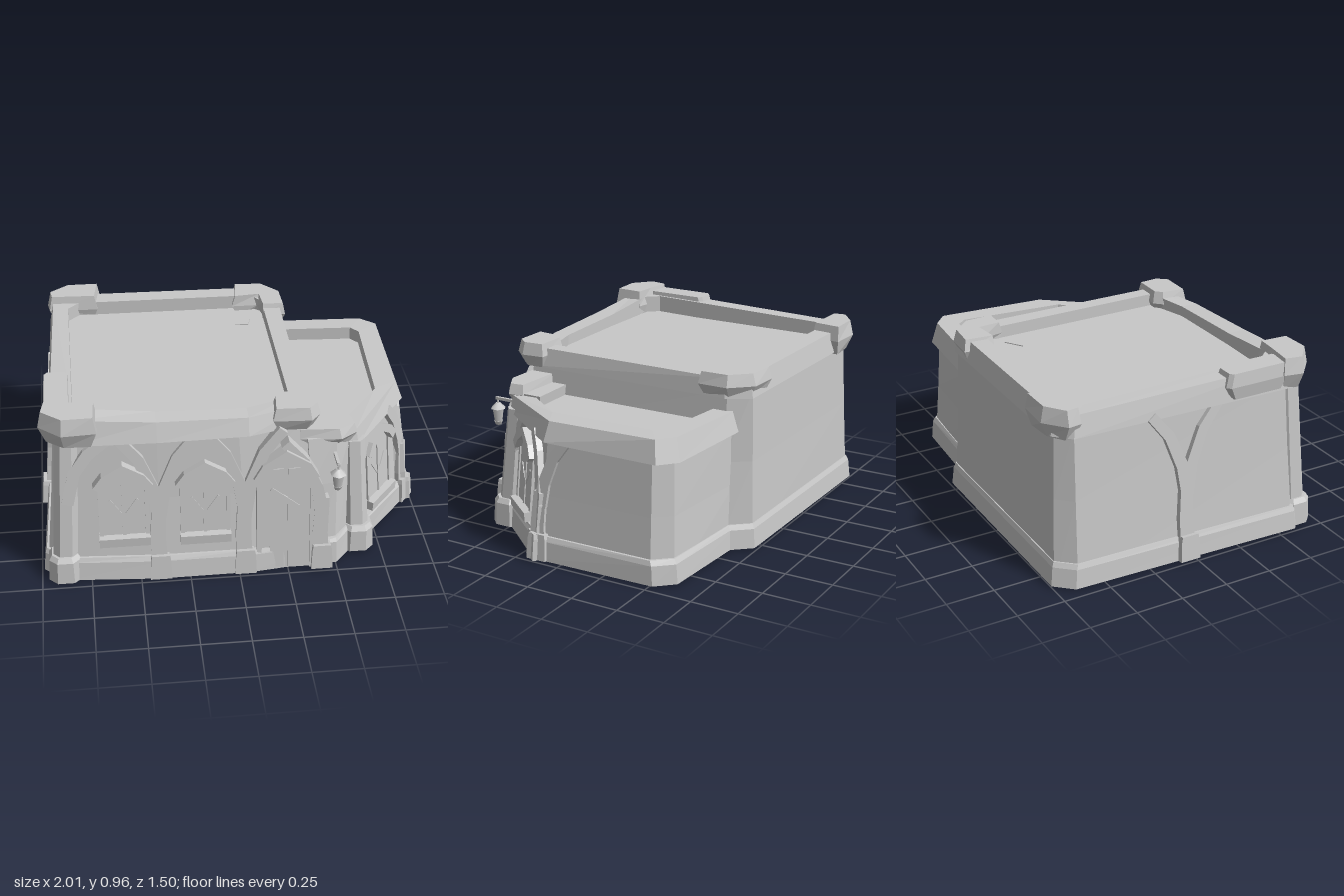
import * as THREE from 'three';

const stone = new THREE.MeshStandardMaterial({ color: 0xc8c8c8 });
stone.name = 'stone grey';

function add(parent, name, geo) {
  const mesh = new THREE.Mesh(geo, stone);
  mesh.name = name;
  parent.add(mesh);
  return mesh;
}

// Faceted skin over rings of [x, y, z] points
function loft(rings, caps = true) {
  const pos = [];
  const tri = (a, b, c) => pos.push(...a, ...b, ...c);
  const n = rings[0].length;
  for (let r = 0; r < rings.length - 1; r++) {
    for (let i = 0; i < n; i++) {
      const j = (i + 1) % n;
      tri(rings[r][i], rings[r][j], rings[r + 1][j]);
      tri(rings[r][i], rings[r + 1][j], rings[r + 1][i]);
    }
  }
  const cap = (ring, up) => {
    const c = [0, 1, 2].map(k => ring.reduce((s, p) => s + p[k], 0) / n);
    ring.forEach((p, i) => {
      const q = ring[(i + 1) % n];
      up ? tri(c, p, q) : tri(c, q, p);
    });
  };
  if (caps) { cap(rings[0], false); cap(rings[rings.length - 1], true); }
  const geo = new THREE.BufferGeometry();
  geo.setAttribute('position', new THREE.Float32BufferAttribute(pos, 3));
  geo.computeVertexNormals();
  return geo;
}

const at = (pts, y) => pts.map(([x, z, dy = 0]) => [x, y + dy, z]);
const mix = (a, b, t) => a.map((p, i) => [p[0] + (b[i][0] - p[0]) * t, p[1] + (b[i][1] - p[1]) * t]);
// Pushes an outline away from its middle by a fixed distance
const grow = (pts, d) => {
  const cx = pts.reduce((s, p) => s + p[0], 0) / pts.length;
  const cz = pts.reduce((s, p) => s + p[1], 0) / pts.length;
  return pts.map(([x, z, dy = 0]) => {
    const l = Math.hypot(x - cx, z - cz);
    return [x + (x - cx) / l * d * 1.2, z + (z - cz) / l * d * 1.2, dy];
  });
};
const rect = (x0, x1, z0, z1, c) => [[x0, z1 - c], [x0 + c, z1], [x1 - c, z1], [x1, z1 - c],
  [x1, z0 + c], [x1 - c, z0], [x0 + c, z0], [x0, z0 + c]];

// Hollow rim around a roof
const rim = (low, top, inner, y0, y1, yIn) =>
  loft([at(low, y0), at(top, y1), at(inner, y1), at(inner, yIn), at(low, y0)], false);

// Chunky block, narrower at its foot and top
function block(parent, name, pts, y0, y1) {
  add(parent, name, loft([at(grow(pts, -0.03), y0), at(pts, y0 + (y1 - y0) * 0.5), at(grow(pts, -0.015), y1)]));
}

// Timber or stone strip along a 2D path, standing proud of a wall panel
function strip(parent, name, path, width, depth, endWidth = width) {
  add(parent, name, loft(path.map(([x, y], i) => {
    const a = path[Math.max(i - 1, 0)], b = path[Math.min(i + 1, path.length - 1)];
    const l = Math.hypot(b[0] - a[0], b[1] - a[1]);
    const w = (width + (endWidth - width) * i / (path.length - 1)) / 2;
    const nx = (b[1] - a[1]) / l * w, ny = -(b[0] - a[0]) / l * w;
    return [[x - nx, y - ny, depth], [x + nx, y + ny, depth], [x + nx, y + ny, -0.05], [x - nx, y - ny, -0.05]];
  })));
}

// Leaning drawing plane on a wall: x along it, y up, z outwards
function panel(parent, name, x, z, yaw, tilt) {
  const g = new THREE.Group();
  g.name = name;
  g.position.set(x, 0, z);
  g.rotation.set(-tilt, yaw, 0, 'YXZ');
  parent.add(g);
  return g;
}

function brace(parent, x, top, s, reach) {
  strip(parent, 'archBrace', [[x, top * 0.44], [x + s * reach * 0.15, top * 0.64],
    [x + s * reach * 0.5, top * 0.85], [x + s * reach, top]], 0.07, 0.025, 0.05);
}

function post(parent, x, top, sides, reach = 0.19) {
  strip(parent, 'post', [[x, 0], [x - 0.01, top * 0.28], [x, top * 0.56]], 0.085, 0.025, 0.07);
  strip(parent, 'postFoot', [[x, 0], [x, 0.11], [x, 0.135]], 0.11, 0.045, 0.09);
  for (const s of sides) brace(parent, x, top, s, reach);
}

function pointedPanel(parent, name, x, y0, w, spring, peak) {
  const s = new THREE.Shape();
  s.moveTo(x - w / 2, y0);
  s.lineTo(x + w / 2, y0);
  s.lineTo(x + w / 2, spring);
  s.lineTo(x + w * 0.3, spring + (peak - spring) * 0.6);
  s.lineTo(x, peak);
  s.lineTo(x - w * 0.3, spring + (peak - spring) * 0.6);
  s.lineTo(x - w / 2, spring);
  add(parent, name, new THREE.ExtrudeGeometry(s, { depth: 0.04, bevelEnabled: false })).position.z = -0.03;
}

function windowUnit(parent, x, dy) {
  const g = new THREE.Group();
  g.name = 'window';
  g.position.set(x, dy, 0);
  parent.add(g);
  pointedPanel(g, 'windowPane', 0, 0.24, 0.23, 0.53, 0.62);
  strip(g, 'windowHood', [[-0.13, 0.535], [-0.09, 0.59], [0, 0.645], [0.09, 0.59], [0.13, 0.535]], 0.045, 0.045);
  for (const s of [-1, 1]) {
    strip(g, 'windowJamb', [[s * 0.115, 0.25], [s * 0.115, 0.55]], 0.02, 0.018);
    strip(g, 'windowLattice', [[0, 0.36], [s * 0.07, 0.46]], 0.012, 0.014);
  }
  strip(g, 'windowMullion', [[0, 0.25], [0, 0.61]], 0.018, 0.016);
  const sill = add(g, 'windowSill', new THREE.BoxGeometry(0.255, 0.05, 0.08));
  sill.position.set(0, 0.235, 0.005);
  sill.rotation.x = 0.15;
}

export function createModel() {
  const model = new THREE.Group();
  model.name = 'stoneHouse';

  // Main block: leaning walls with a plinth
  const mainFoot = [[-0.97, 0.58], [-0.86, 0.68], [-0.4, 0.71], [0.05, 0.71], [0.42, 0.67],
    [0.42, -0.58], [0.3, -0.72], [-0.85, -0.73], [-0.93, -0.64]];
  const mainTop = [[-0.9, 0.54], [-0.82, 0.61], [-0.4, 0.63], [0, 0.63], [0.34, 0.56],
    [0.33, -0.58], [0.27, -0.69], [-0.81, -0.7], [-0.88, -0.63]];
  add(model, 'mainWalls', loft([at(mainFoot, 0), at(mix(mainFoot, mainTop, 0.6), 0.45), at(mainTop, 0.815)]));
  add(model, 'mainPlinth', loft([at(grow(mainFoot, 0.02), 0), at(grow(mainFoot, 0.01), 0.1), at(mainFoot, 0.125)]));

  // Main parapet and its corner stones
  const rimLow = [[-0.93, 0.57], [-0.84, 0.66], [-0.4, 0.67], [0.05, 0.66], [0.37, 0.57],
    [0.36, -0.58], [0.29, -0.7], [-0.82, -0.72], [-0.9, -0.64]];
  const rimTop = [[-0.91, 0.56, 0.03], [-0.83, 0.63, 0.03], [-0.4, 0.64], [0.05, 0.63, -0.01], [0.35, 0.55],
    [0.35, -0.57], [0.28, -0.68, 0.01], [-0.81, -0.7, 0.01], [-0.88, -0.62, 0.01]];
  const rimIn = [[-0.8, 0.46, 0.03], [-0.74, 0.53, 0.03], [-0.4, 0.54], [0.05, 0.54, -0.01], [0.27, 0.48],
    [0.26, -0.54], [0.2, -0.59, 0.01], [-0.74, -0.6, 0.01], [-0.8, -0.54, 0.01]];
  add(model, 'mainParapet', rim(rimLow, rimTop, rimIn, 0.78, 0.88, 0.79));
  block(model, 'cornerStone', [[-0.97, 0.6], [-0.86, 0.7], [-0.69, 0.69], [-0.68, 0.53], [-0.8, 0.51], [-0.95, 0.5]], 0.78, 0.95);
  block(model, 'cornerStone', [[0.17, 0.64], [0.36, 0.65], [0.41, 0.59], [0.4, 0.47], [0.22, 0.46], [0.18, 0.5]], 0.78, 0.91);
  block(model, 'cornerStone', [[0.1, -0.56], [0.24, -0.56], [0.26, -0.44], [0.38, -0.44], [0.38, -0.6],
    [0.28, -0.71], [0.12, -0.72]], 0.78, 0.905);
  block(model, 'cornerStone', [[-0.9, -0.6], [-0.64, -0.59], [-0.62, -0.75], [-0.8, -0.76], [-0.91, -0.67]], 0.77, 0.93);
  block(model, 'raisedCoping', rect(-0.94, -0.81, 0.18, 0.55, 0.02), 0.79, 0.93);
  add(model, 'roofChip', loft([at([[0.1, -0.4], [0.17, -0.39], [0.19, -0.46]], 0.8),
    at([[0.1, -0.4], [0.17, -0.39], [0.19, -0.46]], 0.82)]));

  // Side wing with a cut front corner
  const wingFoot = [[0.3, 0.6], [0.62, 0.56], [0.96, 0.14], [0.95, -0.5], [0.87, -0.59], [0.3, -0.63]];
  const wingTop = [[0.3, 0.53], [0.59, 0.49], [0.9, 0.1], [0.89, -0.48], [0.82, -0.56], [0.3, -0.61]];
  add(model, 'wingWalls', loft([at(wingFoot, 0), at(mix(wingFoot, wingTop, 0.55), 0.33), at(wingTop, 0.645)]));
  add(model, 'wingPlinth', loft([at(grow(wingFoot, 0.02), 0), at(grow(wingFoot, 0.012), 0.1), at(wingFoot, 0.125)]));
  const wingLow = [[0.3, 0.56], [0.62, 0.53], [0.93, 0.11], [0.93, -0.52], [0.84, -0.6], [0.3, -0.64]];
  const wingRim = [[0.3, 0.54], [0.61, 0.51, -0.01], [0.89, 0.1, 0.005], [0.9, -0.5, 0.02], [0.82, -0.57, 0.02], [0.3, -0.61, 0.01]];
  const wingIn = [[0.3, 0.44], [0.56, 0.42, -0.01], [0.77, 0.16, 0.005], [0.79, -0.42, 0.02], [0.75, -0.47, 0.02], [0.3, -0.51, 0.01]];
  add(model, 'wingParapet', rim(wingLow, wingRim, wingIn, 0.605, 0.7, 0.63));

  // Buttress beside the door
  const buttressFoot = [[0.38, 0.69], [0.5, 0.67], [0.57, 0.58], [0.57, 0.38], [0.38, 0.38]];
  add(model, 'buttress', loft([at(buttressFoot, 0),
    at([[0.37, 0.64], [0.5, 0.62], [0.57, 0.54], [0.58, 0.38], [0.37, 0.38]], 0.45),
    at([[0.35, 0.6], [0.5, 0.58], [0.59, 0.5], [0.59, 0.36], [0.35, 0.36]], 0.7)]));
  add(model, 'buttressPlinth', loft([at(grow(buttressFoot, 0.02), 0), at(grow(buttressFoot, 0.01), 0.12), at(buttressFoot, 0.14)]));
  block(model, 'buttressCap', [[0.3, 0.58], [0.52, 0.6], [0.61, 0.54], [0.6, 0.46], [0.3, 0.44]], 0.64, 0.745);

  // Front corner posts: foot point, head point, head height
  for (const [x, z, tx, tz, h] of [[-0.88, 0.64, -0.84, 0.59, 0.8], [0.63, 0.53, 0.6, 0.48, 0.63]]) {
    const sq = (cx, cz, r) => rect(cx - r, cx + r, cz - r, cz + r, r * 0.5);
    add(model, 'cornerPost', loft([at(sq(x, z, 0.065), 0), at(sq(tx, tz, 0.055), h)]));
    add(model, 'cornerFoot', loft([at(sq(x, z, 0.085), 0), at(sq(x, z, 0.08), 0.12), at(sq(x, z, 0.065), 0.145)]));
  }

  // Front wall: posts, arches, two windows and the door
  const front = panel(model, 'frontWall', 0, 0.7, 0, 0.09);
  post(front, -0.4, 0.8, [-1, 1]);
  post(front, 0.03, 0.8, [-1, 1]);
  post(front, 0.42, 0.72, [-1]);
  strip(front, 'archBrace', [[-0.85, 0.45], [-0.81, 0.62], [-0.74, 0.72], [-0.64, 0.8]], 0.06, 0.015);
  windowUnit(front, -0.575, 0.0);
  windowUnit(front, -0.17, -0.01);
  pointedPanel(front, 'door', 0.235, 0, 0.27, 0.52, 0.66);
  strip(front, 'doorHood', [[0.09, 0.53], [0.13, 0.6], [0.235, 0.67], [0.34, 0.6], [0.38, 0.53]], 0.045, 0.045);
  for (const s of [-1, 1]) strip(front, 'doorJamb', [[0.235 + s * 0.135, 0], [0.235 + s * 0.135, 0.56]], 0.025, 0.022);
  for (const x of [0.19, 0.28]) strip(front, 'doorPlank', [[x, 0.01], [x, 0.58]], 0.07, 0.016);
  strip(front, 'doorBrace', [[0.16, 0.47], [0.3, 0.36]], 0.02, 0.022);

  // Wing corner window, wing side and left wall timbers
  const cut = panel(model, 'wingCornerWall', 0.787, 0.345, 0.89, 0.09);
  windowUnit(cut, 0, -0.07);
  post(cut, 0.25, 0.62, [-1], 0.14);
  brace(cut, -0.23, 0.62, 1, 0.14);
  const side = panel(model, 'wingSideWall', 0.95, 0.13, Math.PI / 2, 0.09);
  post(side, 0, 0.62, [1], 0.14);
  const left = panel(model, 'leftWall', -0.95, -0.04, -Math.PI / 2, 0.075);
  post(left, 0, 0.8, [-1, 1]);

  // Hanging lantern
  const lantern = new THREE.Group();
  lantern.name = 'lantern';
  lantern.position.set(0.49, 0, 0.7);
  model.add(lantern);
  const drum = (name, r1, r0, h, y) =>
    add(lantern, name, new THREE.CylinderGeometry(r1, r0, h, 6).toNonIndexed()).position.y = y;
  drum('lanternBase', 0.025, 0.016, 0.02, 0.475);
  drum('lanternBody', 0.032, 0.022, 0.07, 0.52);
  drum('lanternRoof', 0.012, 0.042, 0.03, 0.57);
  drum('lanternHook', 0.006, 0.006, 0.04, 0.6);
  add(lantern, 'lanternArm', new THREE.BoxGeometry(0.015, 0.015, 0.13)).position.set(0, 0.61, -0.055);
  return model;
}
